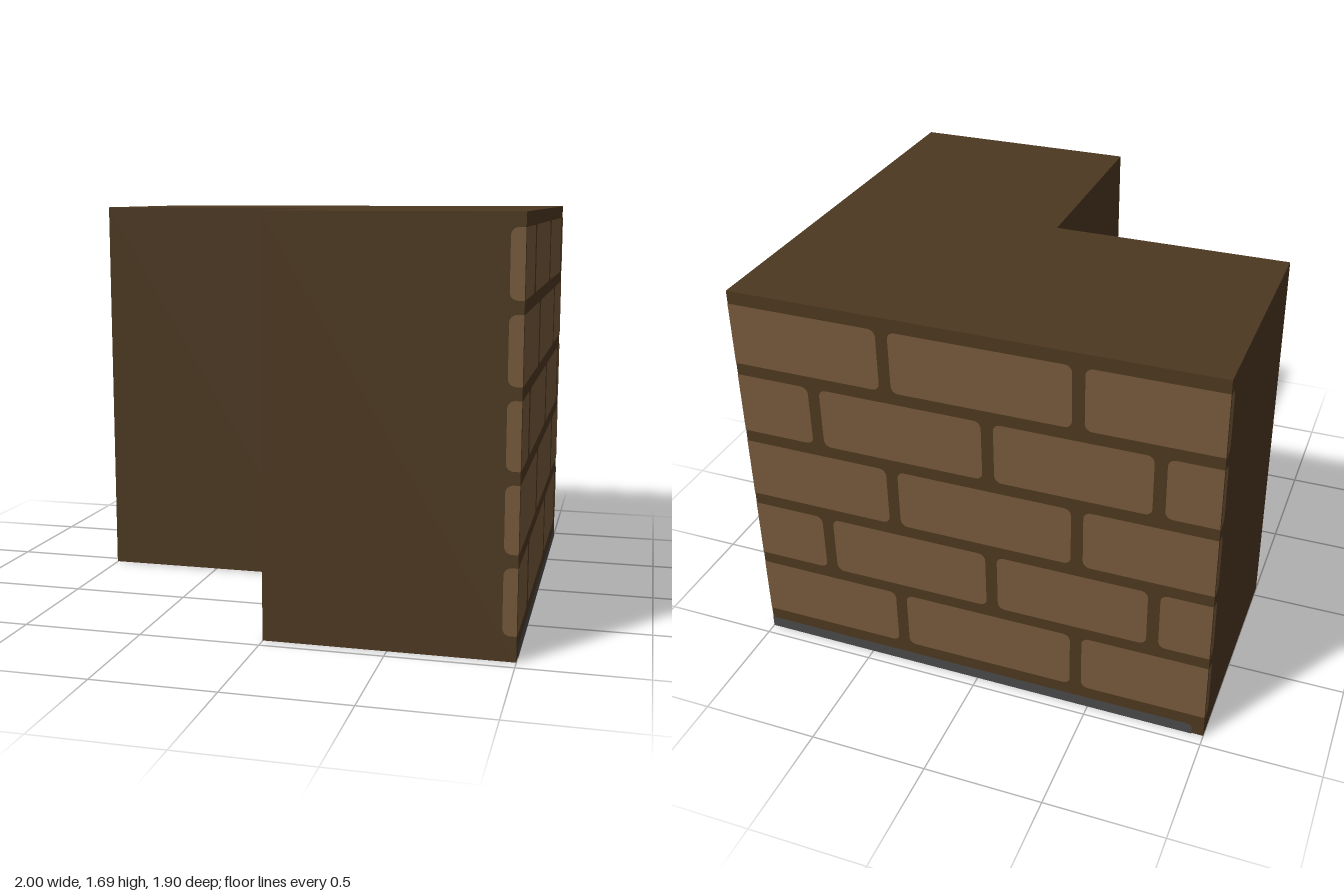
import * as THREE from 'three';

const H = 1.69, X = 1, Z = 0.95, LIFT = 0.002, GAP = 0.025, R = 0.03;

// Flat plate with small rounded corners, except where it runs over an edge
function plate(u0, u1, v0, v1, [bl, br, tr, tl], mat) {
  const s = new THREE.Shape();
  s.moveTo(u0 + bl, v0);
  s.lineTo(u1 - br, v0);
  if (br) s.absarc(u1 - br, v0 + br, br, -Math.PI / 2, 0);
  s.lineTo(u1, v1 - tr);
  if (tr) s.absarc(u1 - tr, v1 - tr, tr, 0, Math.PI / 2);
  s.lineTo(u0 + tl, v1);
  if (tl) s.absarc(u0 + tl, v1 - tl, tl, Math.PI / 2, Math.PI);
  s.lineTo(u0, v0 + bl);
  if (bl) s.absarc(u0 + bl, v0 + bl, bl, Math.PI, Math.PI * 1.5);
  return new THREE.Mesh(new THREE.ShapeGeometry(s, 3), mat);
}

// L-shaped footprint drawn in x and -z, inset on the unbricked sides
function footprint(inset) {
  const i = inset;
  return new THREE.Shape([
    [-X + i, -0.05 + i], [i, -0.05 + i], [i, -Z + i],
    [X, -Z + i], [X, Z], [-X + i, Z],
  ].map(([x, y]) => new THREE.Vector2(x, y)));
}

// Rows of bricks between joints; a null end means the brick runs over the corner
function brickFace(name, angle, position, lo, hi, rows, openLo, openHi, mat) {
  const g = new THREE.Group();
  g.name = name;
  rows.forEach((joints, r) => {
    const top = 1.635 - r * 0.3165, bottom = top - 0.265;
    const ends = [lo, ...joints, hi];
    for (let i = 0; i < ends.length - 1; i++) {
      const first = i === 0, last = i === ends.length - 2;
      const a = first && openLo ? 0 : R, b = last && openHi ? 0 : R;
      const brick = plate(ends[i] + (first ? 0 : GAP), ends[i + 1] - (last ? 0 : GAP),
        bottom, top, [a, b, b, a], mat);
      brick.name = 'brick';
      g.add(brick);
    }
  });
  g.rotation.y = angle;
  g.position.set(...position);
  return g;
}

export function createModel() {
  const mortar = new THREE.MeshStandardMaterial({ name: 'dark brown mortar', color: 0x4d3820 });
  const brick = new THREE.MeshStandardMaterial({ name: 'brown brick', color: 0x76593a });
  const base = new THREE.MeshStandardMaterial({ name: 'grey base', color: 0x4a4a4a });
  const model = new THREE.Group();
  model.name = 'cornerWall';

  // Solid corner block
  const body = new THREE.Mesh(
    new THREE.ExtrudeGeometry(footprint(0), { depth: H - LIFT, bevelEnabled: false }), mortar);
  body.name = 'wallBody';
  body.rotation.x = -Math.PI / 2;
  body.position.y = LIFT;
  model.add(body);

  // Underside panel
  const under = new THREE.ShapeGeometry(footprint(0.05));
  under.index.array.reverse();
  under.attributes.normal.array.forEach((n, i, a) => { a[i] = -n; });
  const underside = new THREE.Mesh(under, base);
  underside.name = 'underside';
  underside.rotation.x = -Math.PI / 2;
  model.add(underside);

  // Bricks on the two outer walls
  const side = brickFace('sideBricks', Math.PI / 2, [X + LIFT, 0, 0], -Z, Z, [
    [-0.555, 0.18, 0.865], [-0.29, 0.5], [-0.66, 0.13, 0.815], [-0.24, 0.55], [-0.555, 0.235, 0.865],
  ], true, true, brick);
  const odd = [-0.34, 0.445], even = [-0.66, 0.08, 0.765];
  const back = brickFace('backBricks', Math.PI, [0, 0, -Z - LIFT], -X, X,
    [odd, even, odd, even, odd], true, true, brick);

  // Brick ends wrapping onto the two cut faces
  const none = [[], [], [], [], []];
  const front = brickFace('frontBrickEnds', 0, [0, 0, Z + LIFT], 0.945, X, none, false, true, brick);
  const end = brickFace('rightBrickEnds', -Math.PI / 2, [-X - LIFT, 0, 0], -Z, -0.9, none, true, false, brick);
  model.add(side, back, front, end);

  // Grey trim along the foot of the outer walls
  const sideTrim = plate(-0.9, Z, 0, 0.05, [0, 0, 0, 0.02], base);
  const backTrim = plate(-X, 0.95, 0, 0.05, [0, 0, 0.02, 0], base);
  sideTrim.name = 'sideTrim';
  backTrim.name = 'backTrim';
  side.add(sideTrim);
  back.add(backTrim);
  return model;
}
